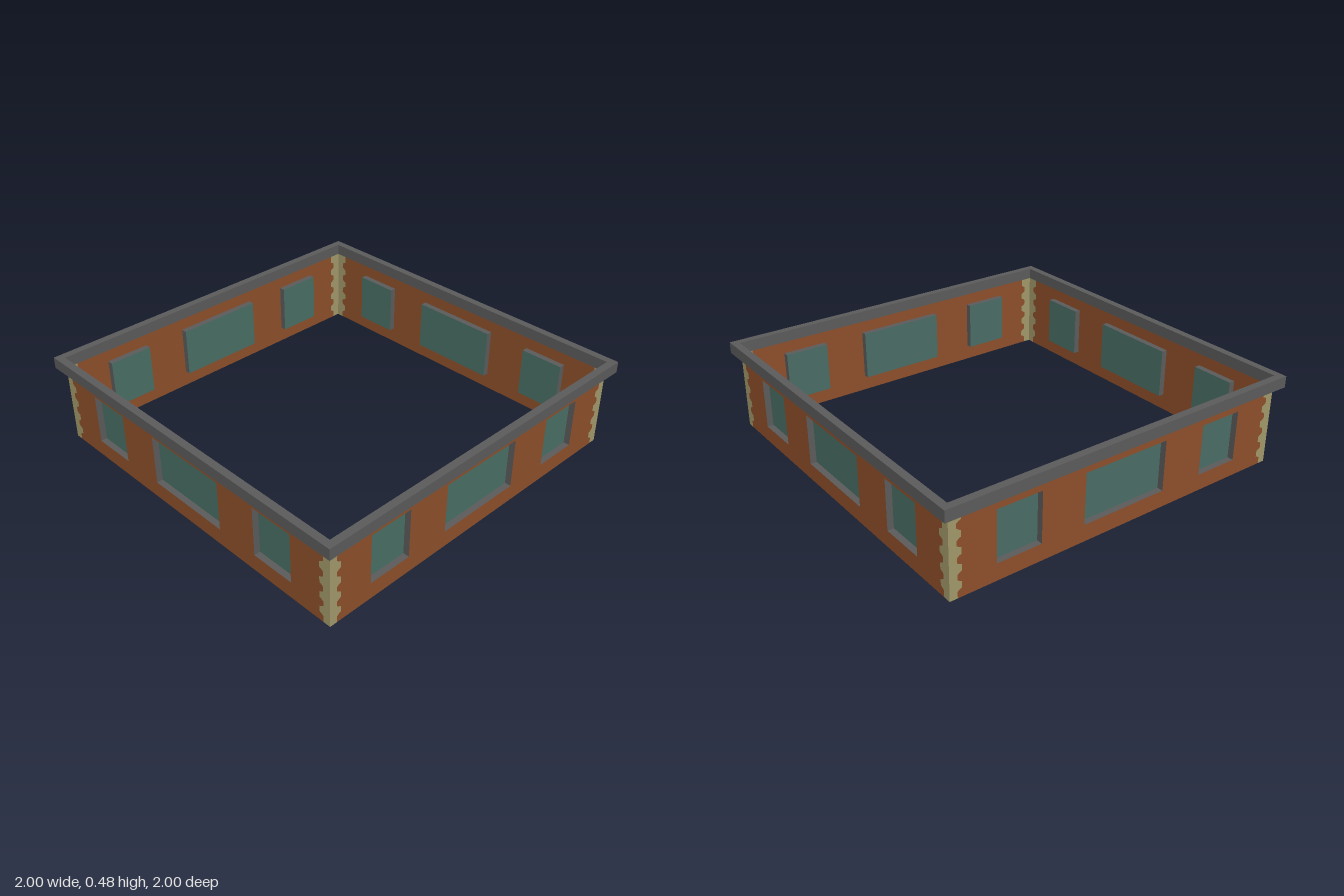
import * as THREE from 'three';

const WALL = 0.96, WALL_TOP = 0.418, TOP = 0.478, DEPTH = 0.033;
const SILL = 0.088, HEAD = 0.355;
const WINDOWS = [[-0.72, -0.48], [-0.24, 0.24], [0.48, 0.72]];

const brick = new THREE.MeshStandardMaterial({ name: 'brick', color: 0x8f502b, side: THREE.DoubleSide });
const stone = new THREE.MeshStandardMaterial({ name: 'cornerStone', color: 0xa39a6b, side: THREE.DoubleSide });
const glass = new THREE.MeshStandardMaterial({ name: 'glass', color: 0x4a6f66, side: THREE.DoubleSide });
const grey = new THREE.MeshStandardMaterial({ name: 'greyTrim', color: 0x5c5c5c, side: THREE.DoubleSide });

function add(parent, name, geometry, material) {
  const mesh = new THREE.Mesh(geometry, material);
  mesh.name = name;
  parent.add(mesh);
  return mesh;
}

// Scalloped edge between brick and corner stone, listed from bottom to top
function scallopEdge(sign) {
  const points = [[0.92, 0]];
  const bite = [[-0.026, 0.897], [-0.02, 0.91], [-0.012, 0.92], [0.012, 0.92], [0.02, 0.91], [0.026, 0.897]];
  for (let i = 0; i < 5; i++) {
    const centre = 0.021 + i * 0.083;
    for (const [dy, x] of bite) if (centre + dy > 0.001 && (i > 0 || dy > 0)) points.push([x, centre + dy]);
  }
  points.push([0.897, WALL_TOP]);
  return points.map(([x, y]) => new THREE.Vector2(sign * x, y));
}

function rectangle(x0, x1, y0, y1, Type = THREE.Shape) {
  return new Type([[x0, y0], [x1, y0], [x1, y1], [x0, y1]].map(([x, y]) => new THREE.Vector2(x, y)));
}

// One side: thin wall with openings, two corner strips, three recessed windows
function createSide() {
  const side = new THREE.Group();
  const wall = new THREE.Shape([...scallopEdge(1), ...scallopEdge(-1).reverse()]);
  for (const [x0, x1] of WINDOWS) wall.holes.push(rectangle(x0, x1, SILL, HEAD, THREE.Path));
  add(side, 'brickWall', new THREE.ShapeGeometry(wall), brick).position.z = WALL;

  for (const sign of [-1, 1]) {
    const strip = new THREE.Shape([
      ...scallopEdge(sign),
      new THREE.Vector2(sign * WALL, WALL_TOP),
      new THREE.Vector2(sign * WALL, 0),
    ]);
    add(side, 'cornerStones', new THREE.ShapeGeometry(strip), stone).position.z = WALL;
  }

  for (const [x0, x1] of WINDOWS) {
    const w = x1 - x0, h = HEAD - SILL, cx = (x0 + x1) / 2, cy = (SILL + HEAD) / 2;
    const win = new THREE.Group();
    win.name = 'window';
    win.position.set(cx, cy, WALL - DEPTH);
    side.add(win);
    add(win, 'windowPane', new THREE.PlaneGeometry(w, h), glass);
    for (const sign of [-1, 1]) {
      const jamb = add(win, 'windowJamb', new THREE.PlaneGeometry(DEPTH, h), grey);
      jamb.position.set(sign * w / 2, 0, DEPTH / 2);
      jamb.rotation.y = -sign * Math.PI / 2;
      const ledge = add(win, sign > 0 ? 'windowHead' : 'windowSill', new THREE.PlaneGeometry(w, DEPTH), grey);
      ledge.position.set(0, sign * h / 2, DEPTH / 2);
      ledge.rotation.x = sign * Math.PI / 2;
    }
  }
  return side;
}

export function createModel() {
  const model = new THREE.Group();
  model.name = 'walledStorey';

  ['frontSide', 'leftSide', 'backSide', 'rightSide'].forEach((name, i) => {
    const side = createSide();
    side.name = name;
    side.rotation.y = i * Math.PI / 2;
    model.add(side);
  });

  // Square cornice ring resting around the wall tops
  const ring = rectangle(-1, 1, -1, 1);
  ring.holes.push(rectangle(-WALL, WALL, -WALL, WALL, THREE.Path));
  const cornice = add(model, 'cornice',
    new THREE.ExtrudeGeometry(ring, { depth: TOP - WALL_TOP, bevelEnabled: false }), grey);
  cornice.rotation.x = -Math.PI / 2;
  cornice.position.y = WALL_TOP;

  return model;
}
